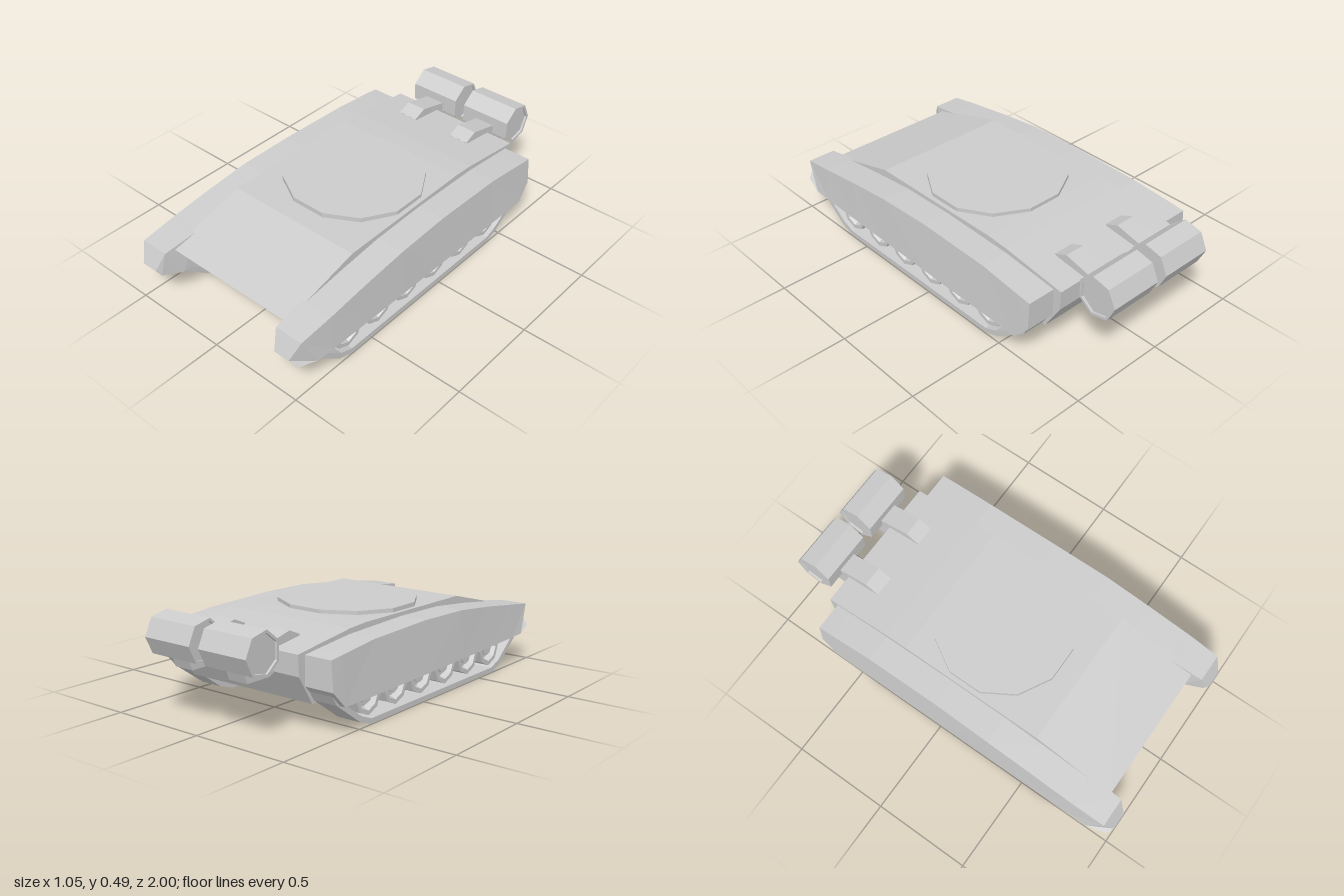
import * as THREE from 'three';

const material = new THREE.MeshStandardMaterial({ color: 0xcccccc, flatShading: true });

function addMesh(parent, name, geometry) {
  const mesh = new THREE.Mesh(geometry, material);
  mesh.name = name;
  parent.add(mesh);
  return mesh;
}

// Side profile given as [z, y] points, extruded across x from x0 to x1
function sideExtrude(points, x0, x1) {
  const shape = new THREE.Shape(points.map(([z, y]) => new THREE.Vector2(z, y)));
  const geometry = new THREE.ExtrudeGeometry(shape, { depth: x1 - x0, bevelEnabled: false });
  return geometry.rotateY(-Math.PI / 2).translate(x1, 0, 0);
}

// Radius/offset profile turned about the x axis
function turned(profile, sides, start = 0) {
  const points = profile.map(([r, x]) => new THREE.Vector2(r, x));
  return new THREE.LatheGeometry(points, sides, start).rotateZ(-Math.PI / 2);
}

// Closed loft through four-cornered sections:
// [bottom z, bottom y, top z, top y, inner bottom x, inner top x, outer top x, outer bottom x]
function loftFender(sections, side) {
  const positions = [];
  const index = [];
  const tri = (a, b, c) => index.push(...(side > 0 ? [a, b, c] : [a, c, b]));
  const quad = (a, b, c, d) => { tri(a, b, c); tri(a, c, d); };
  sections.forEach(([zb, yb, zt, yt, ib, it, ot, ob]) => {
    positions.push(side * ib, yb, zb, side * ob, yb, zb, side * ot, yt, zt, side * it, yt, zt);
  });
  const last = sections.length - 1;
  for (let i = 0; i < last; i++) {
    for (let j = 0; j < 4; j++) {
      const k = (j + 1) % 4;
      quad(4 * i + j, 4 * i + k, 4 * i + 4 + k, 4 * i + 4 + j);
    }
  }
  quad(3, 2, 1, 0);
  quad(4 * last, 4 * last + 1, 4 * last + 2, 4 * last + 3);
  const geometry = new THREE.BufferGeometry();
  geometry.setAttribute('position', new THREE.Float32BufferAttribute(positions, 3));
  geometry.setIndex(index);
  const flat = geometry.toNonIndexed();
  flat.computeVertexNormals();
  return flat;
}

const fenderSections = [
  [-0.705, 0.22, -0.705, 0.36, 0.36, 0.36, 0.51, 0.52],
  [-0.63, 0.14, -0.63, 0.368, 0.36, 0.36, 0.51, 0.525],
  [-0.4, 0.14, -0.4, 0.39, 0.36, 0.36, 0.505, 0.525],
  [0, 0.145, 0, 0.4, 0.36, 0.36, 0.505, 0.525],
  [0.3, 0.15, 0.3, 0.393, 0.36, 0.36, 0.51, 0.525],
  [0.55, 0.155, 0.55, 0.367, 0.36, 0.36, 0.51, 0.525],
  [0.775, 0.16, 0.775, 0.337, 0.36, 0.36, 0.51, 0.525],
  [0.78, 0.16, 0.78, 0.337, 0.336, 0.345, 0.51, 0.525],
  [0.88, 0.165, 0.955, 0.312, 0.336, 0.357, 0.505, 0.525],
  [0.98, 0.19, 1.0, 0.22, 0.37, 0.385, 0.47, 0.505],
];

// Track belt: outer run from front to rear, then the inner run back
const trackProfile = [
  [0.9, 0.175], [0.715, 0.027], [0.64, 0], [-0.405, 0], [-0.485, 0.027],
  [-0.65, 0.145], [-0.705, 0.235], [-0.68, 0.235], [-0.61, 0.145],
  [-0.47, 0.05], [-0.405, 0.025], [0.63, 0.025], [0.7, 0.05], [0.86, 0.175],
];

export function createModel() {
  const model = new THREE.Group();
  model.name = 'trackedVehicle';

  // Hull with sloping front plates and rear deck
  addMesh(model, 'hull', sideExtrude([
    [0.9, 0.305], [0.48, 0.415], [-0.28, 0.422], [-0.4, 0.415], [-0.75, 0.37],
    [-0.745, 0.27], [-0.66, 0.13], [0.78, 0.14],
  ], -0.366, 0.366));

  // Twelve-sided turret ring plate
  const plate = new THREE.CylinderGeometry(0.355, 0.355, 0.03, 12);
  plate.rotateY(Math.PI / 12).scale(1, 1, 0.955).translate(0, 0.425, 0.05);
  addMesh(model, 'turretRing', plate);

  for (const side of [1, -1]) {
    const sideName = side > 0 ? 'left' : 'right';
    const running = new THREE.Group();
    running.name = sideName + 'RunningGear';
    model.add(running);

    addMesh(running, sideName + 'Fender', loftFender(fenderSections, side));
    const x0 = side > 0 ? 0.368 : -0.495;
    addMesh(running, sideName + 'Track', sideExtrude(trackProfile, x0, x0 + 0.127));

    // Dished road wheels with a raised hub
    for (let i = 0; i < 6; i++) {
      const wheel = addMesh(running, sideName + 'RoadWheel' + (i + 1), turned([
        [0, -0.045], [0.09, -0.045], [0.09, 0.045], [0.068, 0.045],
        [0.055, 0.015], [0.037, 0.015], [0.037, 0.035], [0, 0.035],
      ], 8));
      wheel.position.set(side * 0.432, 0.125, 0.632 - i * 0.207);
      if (side < 0) wheel.rotation.y = Math.PI;
    }

    // Rear drum with slightly recessed ends, and the bracket that holds it
    const drum = addMesh(model, sideName + 'FuelDrum', turned([
      [0, -0.126], [0.092, -0.126], [0.092, -0.138], [0.106, -0.138],
      [0.106, 0.138], [0.092, 0.138], [0.092, 0.126], [0, 0.126],
    ], 7, Math.PI));
    drum.position.set(side * 0.166, 0.39, -0.894);

    const bx = side * 0.166;
    addMesh(model, sideName + 'DrumBracket', sideExtrude([
      [-0.565, 0.4], [-0.635, 0.43], [-0.8, 0.39], [-0.925, 0.3],
      [-0.905, 0.25], [-0.77, 0.25], [-0.7, 0.28],
    ], bx - 0.053, bx + 0.053));
  }
  return model;
}
